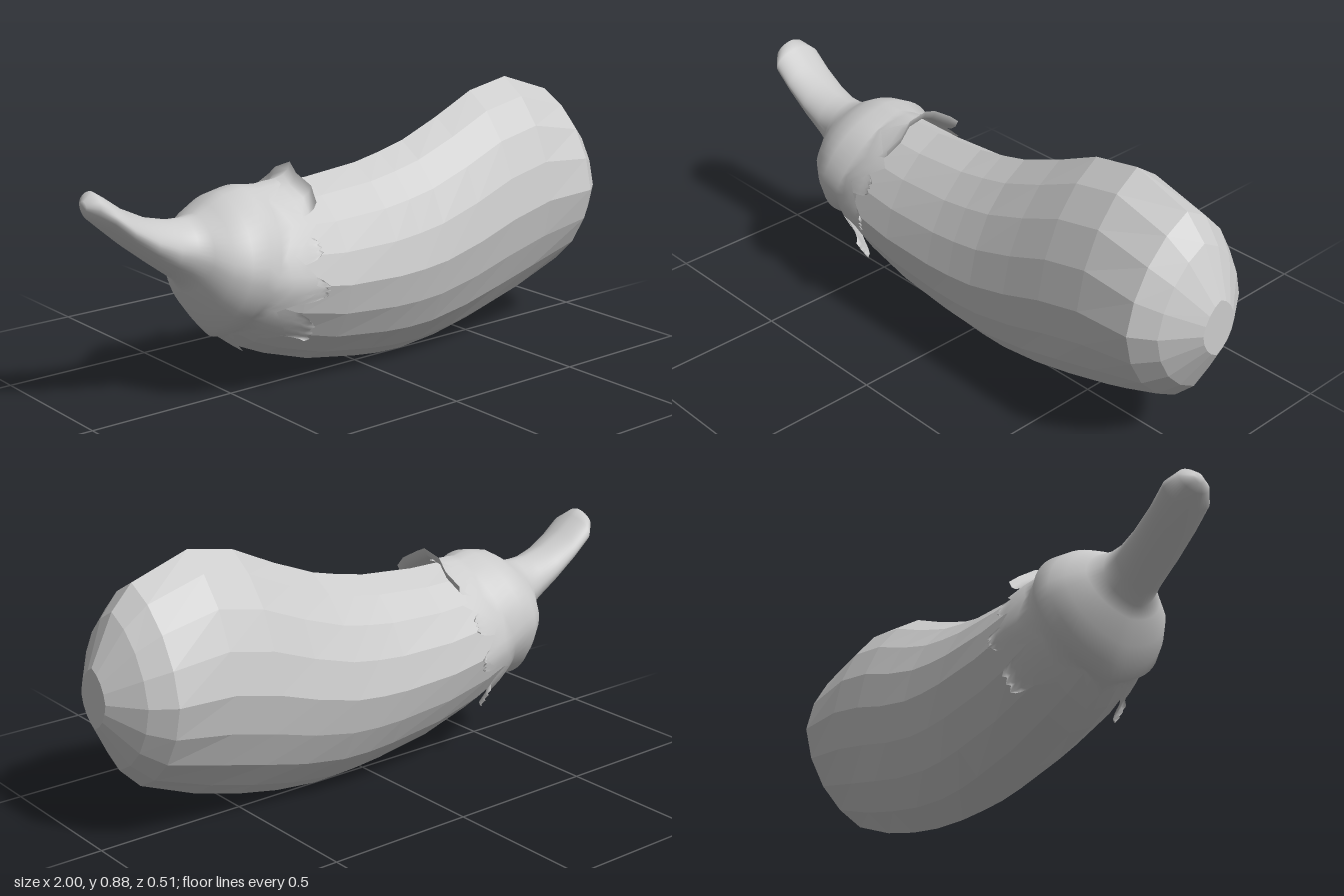
import * as THREE from 'three';

// Body rings: x, top y, bottom y, half width
const BODY = [
  [-0.6, 0.55, 0.3, 0.12], [-0.55, 0.61, 0.21, 0.18], [-0.46, 0.64, 0.145, 0.215],
  [-0.37, 0.65, 0.105, 0.232], [-0.2, 0.652, 0.05, 0.235], [0, 0.67, 0.015, 0.235],
  [0.1, 0.69, 0.003, 0.235], [0.2, 0.715, 0, 0.235], [0.35, 0.775, 0.015, 0.235],
  [0.5, 0.845, 0.045, 0.235], [0.66, 0.875, 0.09, 0.235], [0.855, 0.81, 0.17, 0.235],
  [0.925, 0.735, 0.24, 0.18], [1, 0.58, 0.39, 0.068],
];

// Stem and calyx rings, tilted: top x, top y, bottom x, bottom y, half width
const STEM = [
  [-1, 0.7, -1, 0.665, 0.02], [-0.97, 0.725, -0.985, 0.64, 0.06], [-0.94, 0.705, -0.945, 0.605, 0.09],
  [-0.88, 0.66, -0.88, 0.547, 0.09], [-0.8, 0.62, -0.8, 0.483, 0.09], [-0.72, 0.6, -0.73, 0.43, 0.09],
  [-0.66, 0.597, -0.69, 0.4, 0.1], [-0.62, 0.602, -0.67, 0.365, 0.14], [-0.58, 0.628, -0.64, 0.29, 0.19],
  [-0.53, 0.655, -0.6, 0.235, 0.22], [-0.46, 0.668, -0.575, 0.205, 0.238],
];

// Oval section, pointed at top and bottom by p; angle 0 is the top, growing towards +z
function oval(a, p) {
  const tri = (v) => 1 - (2 / Math.PI) * Math.acos(Math.max(-1, Math.min(1, v)));
  const c = Math.cos(a), s = Math.sin(a);
  return [(1 - p) * c + p * tri(c), (1 - p / 2) * s + (p / 2) * tri(s)];
}

// Point on the body skin at x and angle a, swollen about the axis by a factor
function skin(x, a, swell = 1) {
  let i = 0;
  while (i < BODY.length - 2 && BODY[i + 1][0] < x) i++;
  const t = (x - BODY[i][0]) / (BODY[i + 1][0] - BODY[i][0]);
  const [, top, bottom, w] = BODY[i].map((v, k) => THREE.MathUtils.lerp(v, BODY[i + 1][k], t));
  const [u, v] = oval(a, 0.4);
  return [x, (top + bottom) / 2 + (swell * u * (top - bottom)) / 2, swell * v * w];
}

// Surface through rows of points; closed rows wrap round, caps close the ends
function loft(rows, closed, capStart, capEnd) {
  const n = rows[0].length, pos = rows.flat(2), index = [];
  for (let j = 0; j < rows.length - 1; j++) {
    for (let i = 0; i < (closed ? n : n - 1); i++) {
      const k = (i + 1) % n, a = j * n + i, b = j * n + k;
      index.push(a, b, a + n, b, b + n, a + n);
    }
  }
  const cap = (j, flip) => {
    const c = pos.length / 3;
    pos.push(...[0, 1, 2].map((d) => rows[j].reduce((s, p) => s + p[d], 0) / n));
    for (let i = 0; i < n; i++) {
      const a = j * n + i, b = j * n + ((i + 1) % n);
      index.push(c, flip ? b : a, flip ? a : b);
    }
  };
  if (capStart) cap(0, true);
  if (capEnd) cap(rows.length - 1, false);
  const g = new THREE.BufferGeometry();
  g.setAttribute('position', new THREE.Float32BufferAttribute(pos, 3));
  g.setIndex(index);
  g.computeVertexNormals();
  return g;
}

const angles = (n) => Array.from({ length: n }, (_, i) => (i / n) * Math.PI * 2);

// Leaf tip lying on the body and curling away: angle, half spread, start x, length, curl
function leafTip(a0, spread, x0, length, curl, taper) {
  const rows = [];
  for (let j = 0; j <= 5; j++) {
    const t = j / 5, row = [];
    for (let i = -3; i <= 3; i++) {
      const a = a0 + (i / 3) * spread * (1 - taper * t);
      const x = x0 + length * Math.sin(t * Math.PI * 0.5) * (1 - 0.12 * Math.abs(i % 2));
      row.push(skin(x, a, 1.04 + curl * t * t * t));
    }
    rows.push(row);
  }
  return loft(rows, false);
}

export function createModel() {
  const group = new THREE.Group();
  const add = (name, geometry, flat, side = THREE.FrontSide) => {
    const mesh = new THREE.Mesh(geometry,
      new THREE.MeshStandardMaterial({ color: 0xcccccc, flatShading: flat, side }));
    mesh.name = name;
    group.add(mesh);
  };

  // Faceted fruit with a blunt end
  add('fruitBody', loft(BODY.map(([x]) => angles(16).map((a) => skin(x, a))), true, true, true), true);

  // Curved stem widening into the calyx
  const ring = angles(48);
  const rows = STEM.map(([tx, ty, bx, by, w]) => ring.map((a) => {
    const [u, v] = oval(a, 0.2), t = (1 - u) / 2;
    return [THREE.MathUtils.lerp(tx, bx, t), THREE.MathUtils.lerp(ty, by, t), v * w];
  }));
  // Calyx skirt hugging the fruit, with a toothed rim
  for (let j = 0; j <= 3; j++) {
    rows.push(ring.map((a) => {
      const c = Math.cos(a), tooth = Math.abs(((a * 8) / (Math.PI * 2)) % 1 - 0.5) * 2;
      const start = -0.475 + 0.075 * c;
      const end = -0.42 + 0.085 * c + 0.05 * Math.sin(a) ** 2 + 0.11 * (tooth - 0.5);
      return skin(THREE.MathUtils.lerp(start, Math.max(end, start + 0.01), j / 3), a, 1.05);
    }));
  }
  add('stemAndCalyx', loft(rows, true, true, false), false, THREE.DoubleSide);

  // Curling leaf tips: one broad on top, pairs on the sides and beneath
  add('topLeafTip', leafTip(0, 0.75, -0.4, 0.14, 0.16, 0.15), false, THREE.DoubleSide);
  for (const [side, s] of [['left', 1], ['right', -1]]) {
    add(side + 'UpperLeafTip', leafTip(s * 1.1, 0.22, -0.4, 0.1, 0.03, 0.6), false, THREE.DoubleSide);
    add(side + 'MiddleLeafTip', leafTip(s * 1.6, 0.25, -0.42, 0.12, 0.06, 0.7), false, THREE.DoubleSide);
    add(side + 'LowerLeafTip', leafTip(s * 2.15, 0.28, -0.48, 0.14, 0.12, 0.5), false, THREE.DoubleSide);
  }
  return group;
}
